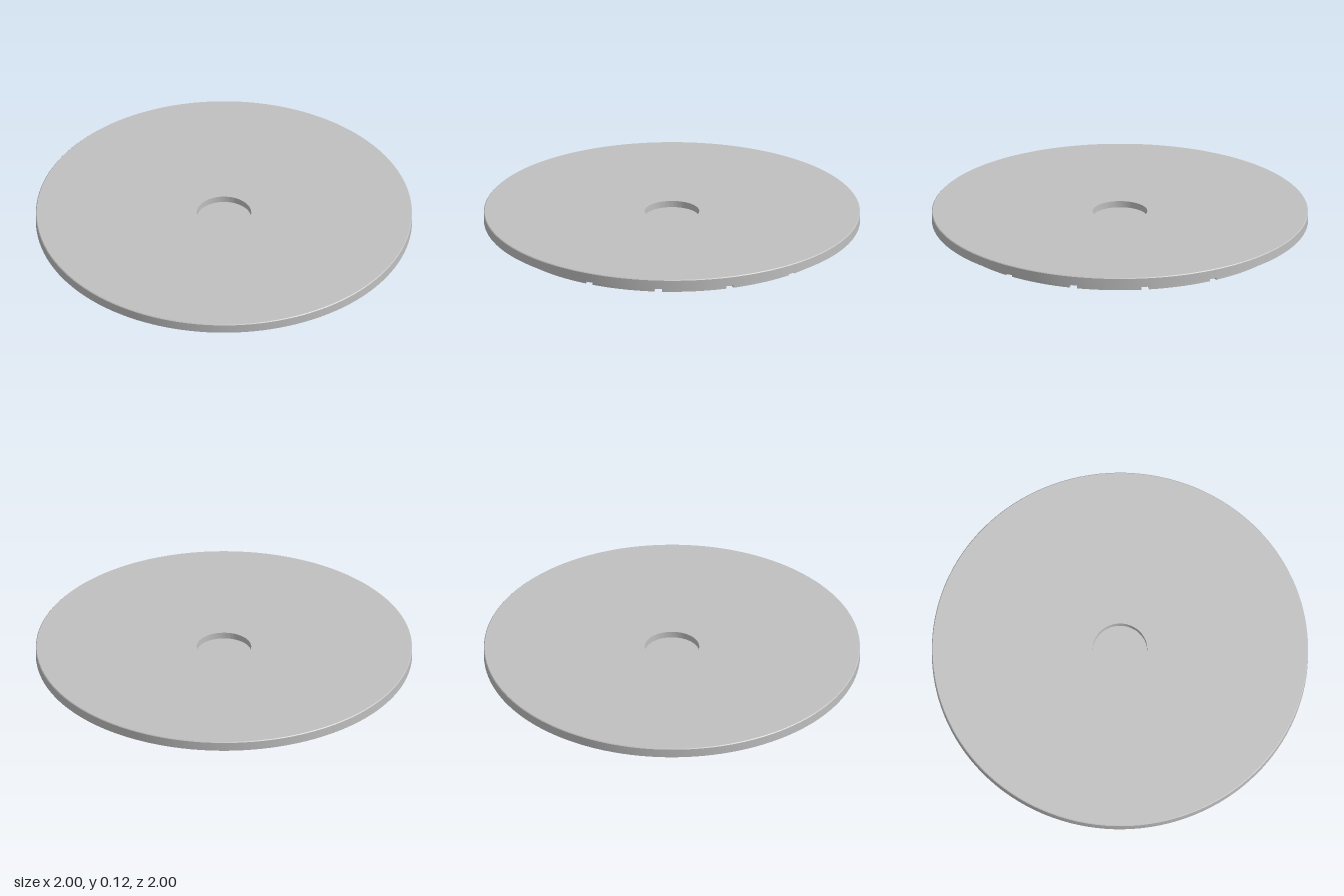
import * as THREE from 'three';
import { toCreasedNormals } from 'three/addons/utils/BufferGeometryUtils.js';

const SECTORS = 15;
const STEP = (Math.PI * 2) / SECTORS;

export function createModel() {
  const group = new THREE.Group();
  const grey = new THREE.MeshStandardMaterial({ color: 0xc0c0c0 });
  grey.name = 'plain grey';

  const add = (name, geometry, y = 0, turn = 0) => {
    const mesh = new THREE.Mesh(toCreasedNormals(geometry, 0.5), grey);
    mesh.name = name;
    mesh.position.y = y;
    mesh.rotation.y = turn;
    group.add(mesh);
  };
  const lathe = (points) =>
    new THREE.LatheGeometry(points.map(([r, y]) => new THREE.Vector2(r, y)), 128);

  // Round plate with a shallow recess in its top
  add('plate', lathe([
    [0, 0.066], [1, 0.066], [1, 0.114], [0.996, 0.118],
    [0.145, 0.118], [0.145, 0.083], [0, 0.083],
  ]));

  // Thin collar under the centre
  add('centreCollar', lathe([[0.14, 0.07], [0.14, 0], [0.152, 0], [0.152, 0.07]]));

  // Pointer on the collar, aimed at the empty sector
  const tip = new THREE.Shape([
    new THREE.Vector2(-0.03, 0.147),
    new THREE.Vector2(0.03, 0.147),
    new THREE.Vector2(0, 0.193),
  ]);
  add('pointer', new THREE.ExtrudeGeometry(tip, { depth: 0.07, bevelEnabled: false })
    .rotateX(Math.PI / 2), 0.07);

  // Sector outline whose straight sides stay at a fixed distance from the dividing lines
  const outline = (path, inner, outer, inset) => {
    const half = (r) => STEP / 2 - Math.asin(inset / r);
    const mid = Math.PI / 2;
    path.absarc(0, 0, outer, mid - half(outer), mid + half(outer), false);
    path.absarc(0, 0, inner, mid + half(inner), mid - half(inner), true);
    path.closePath();
    return path;
  };
  const frame = outline(new THREE.Shape(), 0.285, 0.924, 0.02);
  frame.holes.push(outline(new THREE.Path(), 0.307, 0.902, 0.042));
  const frameGeometry = new THREE.ExtrudeGeometry(frame, {
    depth: 0.049, bevelEnabled: false, curveSegments: 12,
  }).rotateX(Math.PI / 2);

  // Hollow rib frames all round, leaving the front sector empty
  for (let i = 1; i < SECTORS; i++) add('ribFrame' + i, frameGeometry, 0.07, i * STEP);

  return group;
}
